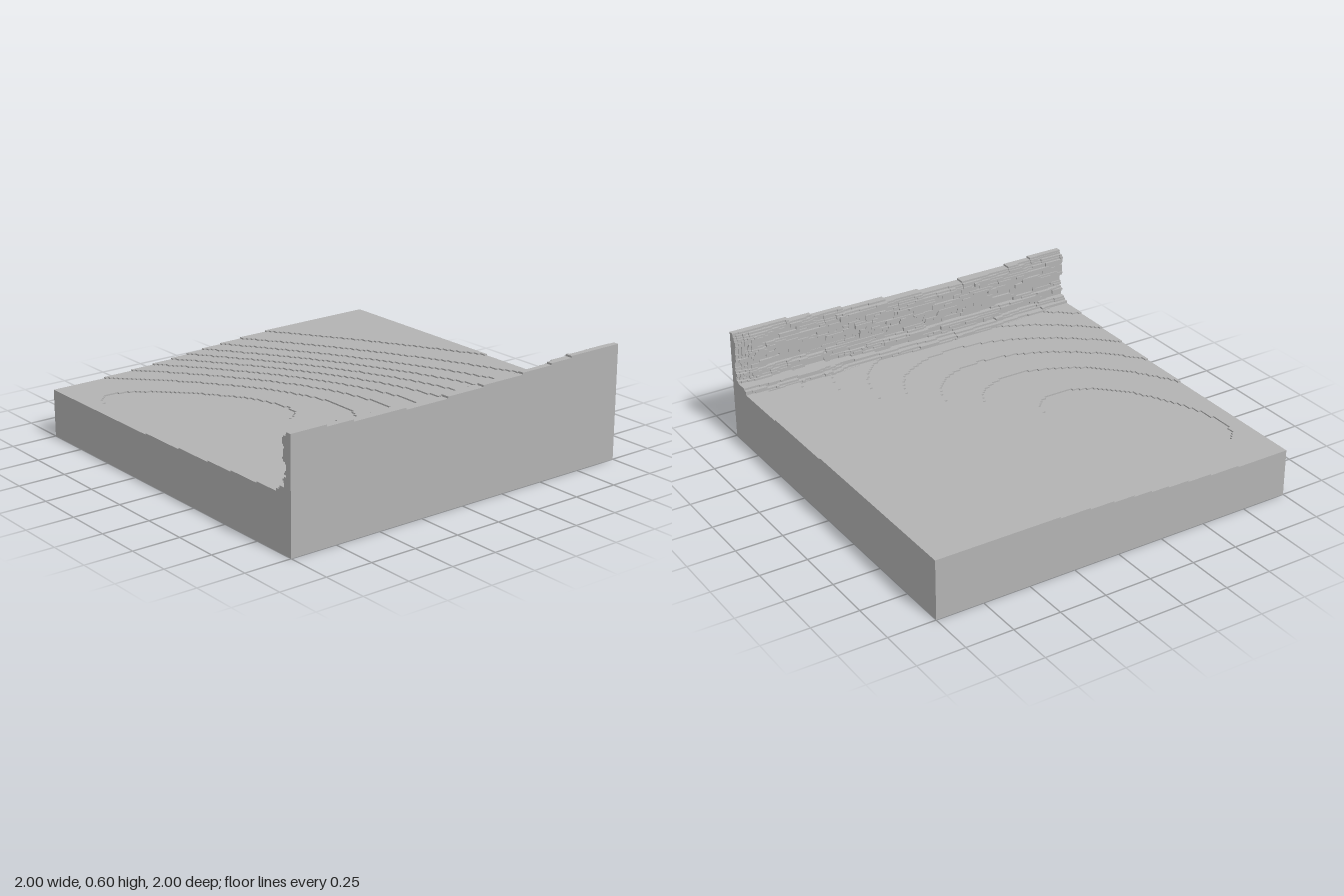
import * as THREE from 'three';

const stone = new THREE.MeshStandardMaterial({ color: 0xb2b2b2 });
stone.name = 'grey stone';

// Piecewise-linear curve through [position, value] points
function curve(points, t) {
  if (t <= points[0][0]) return points[0][1];
  for (let i = 1; i < points.length; i++) {
    const [t0, v0] = points[i - 1], [t1, v1] = points[i];
    if (t <= t1) return v0 + (v1 - v0) * (t - t0) / (t1 - t0);
  }
  return points[points.length - 1][1];
}

// Repeatable value from 0 to 1 for a pair of integers
function hash(a, b) {
  const s = Math.sin(a * 127.1 + b * 311.7) * 43758.5453;
  return s - Math.floor(s);
}

// Solid made of square columns: flat caps, plus upright faces wherever the depth changes
function steppedField(nu, nv, du, dv, depth, place) {
  const pos = [];
  const quad = (a, b, c, d) => {
    for (const p of [a, b, c, a, c, d]) pos.push(...place(...p));
  };
  const cells = [];
  for (let i = 0; i < nu; i++) {
    cells.push([]);
    for (let j = 0; j < nv; j++) cells[i].push(depth((i + 0.5) * du, (j + 0.5) * dv, i, j));
  }
  const at = (i, j) => cells[i]?.[j] ?? 0;
  for (let i = 0; i <= nu; i++) {
    for (let j = 0; j <= nv; j++) {
      const u0 = i * du, u1 = u0 + du, v0 = j * dv, v1 = v0 + dv;
      const d = at(i, j), pu = at(i - 1, j), pv = at(i, j - 1);
      if (d > 0) {
        quad([u0, v0, d], [u0, v1, d], [u1, v1, d], [u1, v0, d]);
        quad([u0, v0, 0], [u1, v0, 0], [u1, v1, 0], [u0, v1, 0]);
      }
      if (pu !== d) quad([u0, v0, d], [u0, v0, pu], [u0, v1, pu], [u0, v1, d]);
      if (pv !== d) quad([u0, v0, d], [u1, v0, d], [u1, v0, pv], [u0, v0, pv]);
    }
  }
  const geometry = new THREE.BufferGeometry();
  geometry.setAttribute('position', new THREE.Float32BufferAttribute(pos, 3));
  geometry.computeVertexNormals();
  return geometry;
}

// Terraced floor: a slanted oval hollow, cut into eleven thin levels
function floorHeight(x, z) {
  const u = (x + 0.5) * 0.82 - (z + 0.25) * 0.57;
  const v = (x + 0.5) * 0.57 + (z + 0.25) * 0.82;
  const across = u > 0 ? Math.exp(-1.3 * u * u - 0.55 * u ** 4) : Math.exp(-0.7 * u * u);
  const along = Math.exp(-(v > 0 ? 0.32 : 0.13) * v * v);
  const level = Math.floor(10.9 - 10.4 * across * along);
  return 0.243 + 0.0072 * level;
}

// Rock face: crest height, foot width and overhanging section
const CREST = [[-1, 0.58], [-0.8, 0.575], [-0.65, 0.565], [-0.43, 0.558], [-0.2, 0.55],
  [-0.07, 0.556], [0.14, 0.566], [0.4, 0.576], [0.56, 0.586], [0.72, 0.597], [1, 0.6]];
const FOOT = [[-1, 0.1], [-0.75, 0.11], [-0.5, 0.13], [0.4, 0.13], [0.58, 0.16], [0.8, 0.16], [1, 0.14]];
const BULGE = [[-1, 0.055], [-0.7, 0.065], [-0.4, 0.08], [0, 0.075], [0.25, 0.065], [0.5, 0.052], [0.75, 0.055],
  [0.9, 0.075], [1, 0.05]];
const SECTION = [[0.1, 1.05], [0.26, 1], [0.3, 0.62], [0.42, 0.66], [0.5, 0.85], [0.6, 1], [0.85, 1], [0.93, 0.85],
  [1, 0.5]];
const LAYER = 0.01, WALL_BASE = 0.24;

function wallDepth(x, y, i, j) {
  const top = Math.round((curve(CREST, x) - WALL_BASE) / LAYER) * LAYER + WALL_BASE;
  if (y > top) return 0;
  const ground = floorHeight(x, 0.87);
  const t = (y - ground) / (top - ground);
  const foot = curve(FOOT, x);
  let depth = curve(BULGE, x) * curve(SECTION, t);
  if (t < 0.05) depth = foot;
  else if (t < 0.11) depth = foot - 0.025;
  // Long chips in each pair of layers
  const band = Math.floor(j / 2);
  const chip = hash(Math.floor(i / 7 + hash(band, 3) * 5), band) - 0.5;
  depth += chip * 0.018 + 0.005 * Math.sin(9 * x + j * 0.8);
  return Math.max(0.03, Math.round(depth / 0.0067) * 0.0067);
}

export function createModel() {
  const model = new THREE.Group();
  model.name = 'terracedGround';

  const n = 120, cell = 2 / n;
  const floor = new THREE.Mesh(
    steppedField(n, n, cell, cell, (u, v) => floorHeight(u - 1, v - 1), (u, v, d) => [u - 1, d, v - 1]), stone);
  floor.name = 'terracedFloor';

  const layers = Math.round((0.6 - WALL_BASE) / LAYER);
  const wall = new THREE.Mesh(
    steppedField(n, layers, cell, LAYER, (u, v, i, j) => wallDepth(u - 1, v + WALL_BASE, i, j),
      (u, v, d) => [u - 1, v + WALL_BASE, 1 - d]), stone);
  wall.name = 'rockWall';

  model.add(floor, wall);
  return model;
}
